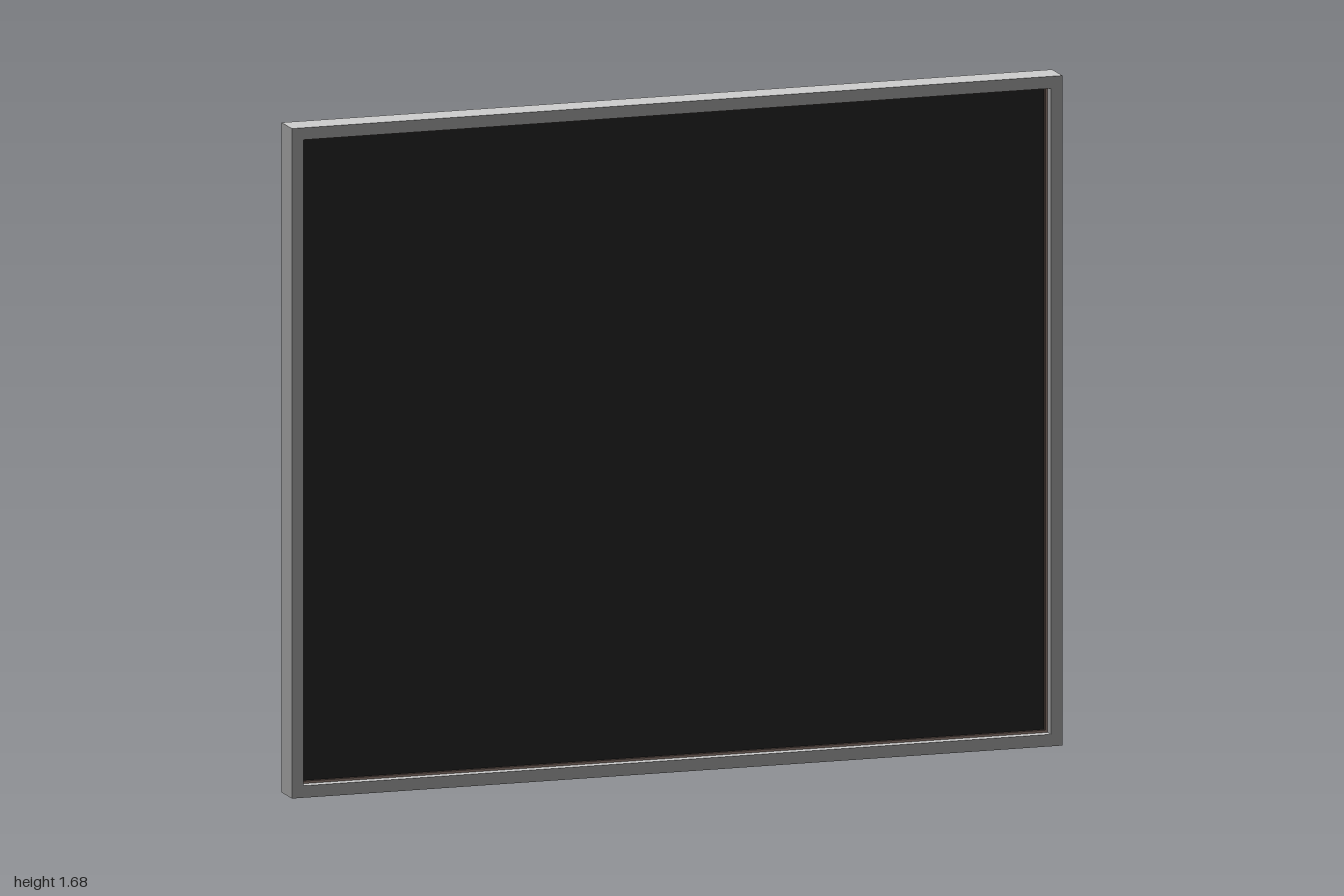
import * as THREE from 'three';

const W = 2, H = 1.68, D = 0.08, BORDER = 0.03, BEAD = 0.006;

// Rectangle inset by a margin from the outer outline
function rectPath(PathType, inset) {
  const x = W / 2 - inset, b = inset, t = H - inset;
  const path = new PathType();
  path.moveTo(-x, b);
  path.lineTo(x, b);
  path.lineTo(x, t);
  path.lineTo(-x, t);
  path.closePath();
  return path;
}

// Rectangular ring between two margins
function ring(outer, inner) {
  const shape = rectPath(THREE.Shape, outer);
  shape.holes.push(rectPath(THREE.Path, inner));
  return shape;
}

function extruded(shape, depth) {
  return new THREE.ExtrudeGeometry(shape, { depth, bevelEnabled: false }).translate(0, 0, -depth / 2);
}

export function createModel() {
  const group = new THREE.Group();
  const add = (name, geometry, color) => {
    const mesh = new THREE.Mesh(geometry, new THREE.MeshStandardMaterial({ color }));
    mesh.name = name;
    group.add(mesh);
    return mesh;
  };

  // Surrounding frame
  add('frame', extruded(ring(0, BORDER), D - 0.001), 0xcccccc);

  // Darker face on the front of the frame
  add('frontFace', new THREE.ShapeGeometry(ring(0, BORDER)), 0x626262).position.z = D / 2;

  // Thin bead holding the panel
  add('bead', extruded(ring(BORDER, BORDER + BEAD), 0.03), 0x5a4c46);

  // Dark panel, recessed on both sides
  const panel = new THREE.BoxGeometry(W - 2 * BORDER - 0.002, H - 2 * BORDER - 0.002, 0.012);
  add('panel', panel, 0x111111).position.y = H / 2;

  return group;
}
